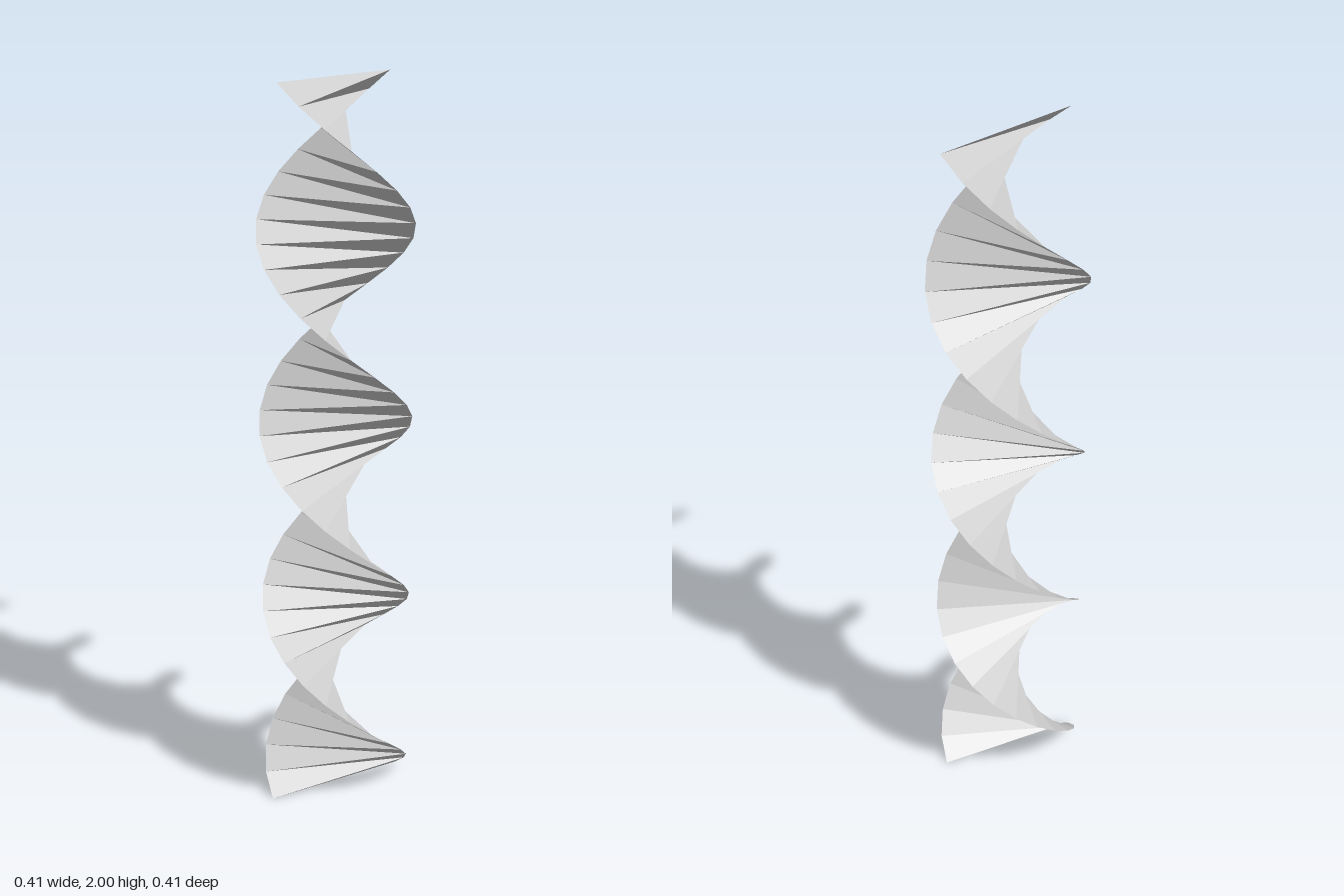
import * as THREE from 'three';

export function createModel() {
  const radius = 0.204, height = 2, steps = 39;
  const stepAngle = Math.PI / 10; // twenty steps per full turn

  // A flat strip, one quad wide, twisted about its upright axis
  const geometry = new THREE.PlaneGeometry(radius * 2, height, 1, steps);
  geometry.translate(0, height / 2, 0);
  const pos = geometry.attributes.position;
  for (let i = 0; i < pos.count; i++) {
    const x = pos.getX(i), y = pos.getY(i);
    const angle = Math.round((y / height) * steps) * stepAngle;
    pos.setXYZ(i, x * Math.cos(angle), y, x * Math.sin(angle));
  }
  geometry.computeVertexNormals();

  const material = new THREE.MeshStandardMaterial({
    color: 0xcccccc, flatShading: true, side: THREE.DoubleSide,
  });
  const ribbon = new THREE.Mesh(geometry, material);
  ribbon.name = 'twistedRibbon';

  const group = new THREE.Group();
  group.name = 'spiral';
  group.add(ribbon);
  return group;
}
